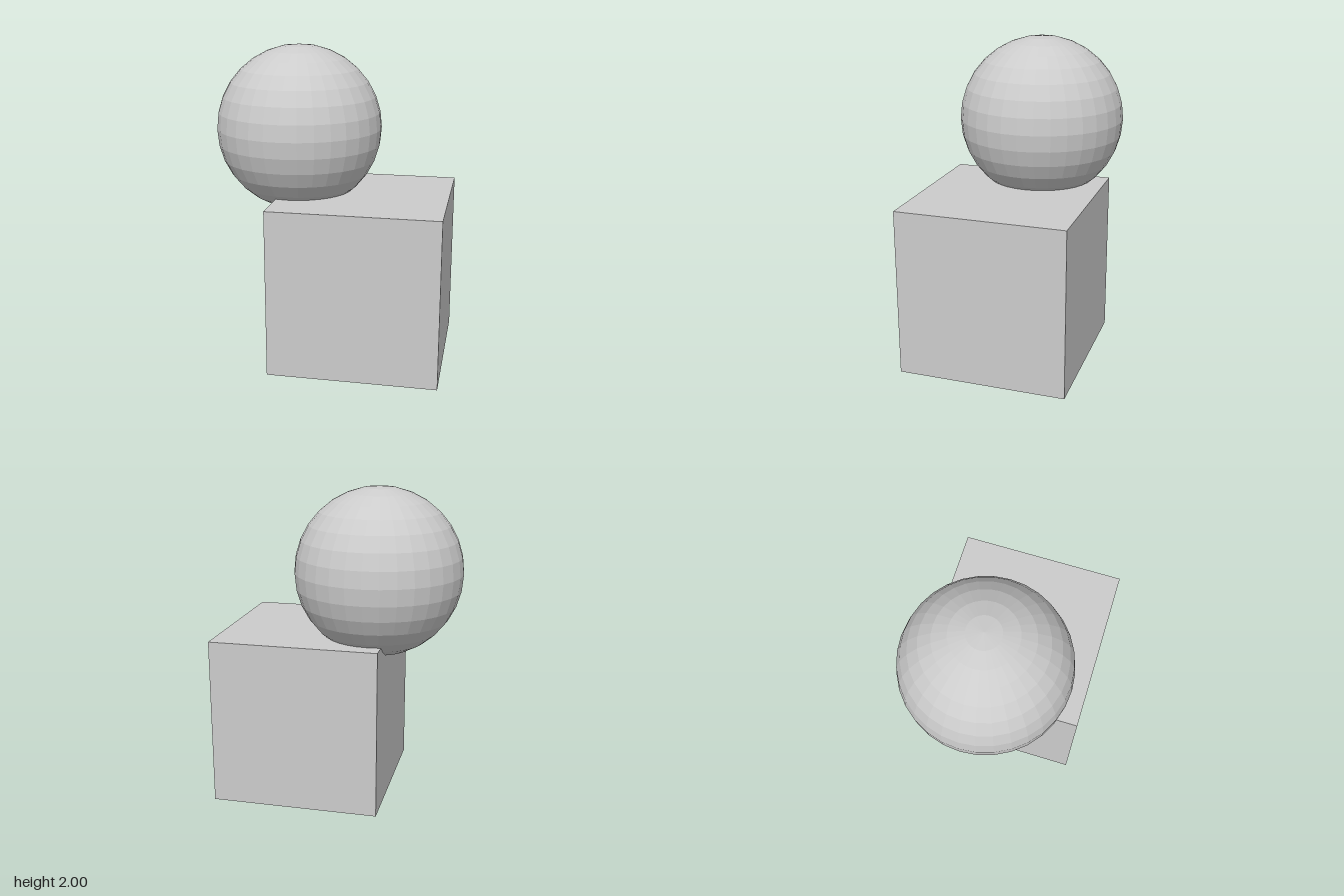
import * as THREE from 'three';

export function createModel() {
  const group = new THREE.Group();
  const material = new THREE.MeshStandardMaterial({ color: 0xcccccc, flatShading: true });

  const addPart = (name, geometry, x, y, z) => {
    const mesh = new THREE.Mesh(geometry, material);
    mesh.name = name;
    mesh.position.set(x, y, z);
    group.add(mesh);
  };

  // Cube standing on the ground
  const size = 1.066;
  addPart('cube', new THREE.BoxGeometry(size, size, size), 0.225, size / 2, 0.043);

  // Faceted ball sunk into the cube's top, overhanging one corner
  const radius = 0.532;
  addPart('ball', new THREE.SphereGeometry(radius, 32, 16), -0.226, 2 - radius, -0.043);

  return group;
}
